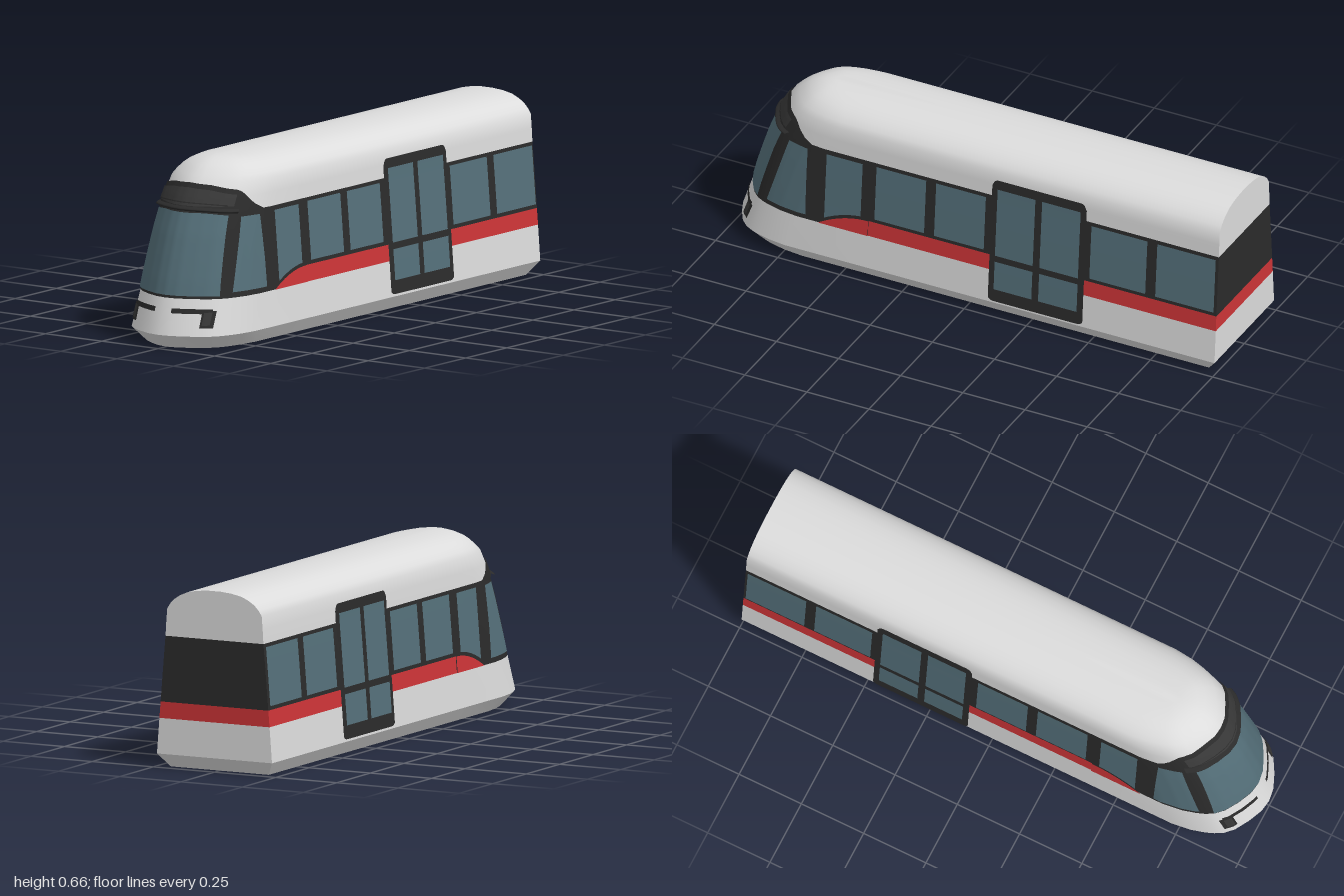
import * as THREE from 'three';
import { toCreasedNormals } from 'three/addons/utils/BufferGeometryUtils.js';

const mat = (name, color) => new THREE.MeshStandardMaterial({ name, color });

// body levels: height, half width, nose z, rear z, depth of the nose curve
const LEVELS = [
  [0, 0.2, 0.95, -0.96, 1], [0.05, 0.235, 1, -1, 1], [0.18, 0.225, 0.957, -1, 1],
  [0.24, 0.22, 0.942, -1, 1], [0.32, 0.2135, 0.918, -1, 1], [0.4, 0.207, 0.892, -1, 1],
  [0.48, 0.2, 0.86, -1, 1], [0.53, 0.197, 0.832, -1, 1], [0.58, 0.193, 0.8, -1, 1],
  [0.6, 0.18, 0.778, -1, 0.94], [0.617, 0.163, 0.758, -1, 0.86], [0.632, 0.14, 0.735, -1, 0.74],
  [0.645, 0.11, 0.705, -1, 0.6], [0.653, 0.07, 0.675, -1, 0.4], [0.657, 0.025, 0.64, -1, 0.18],
];
// nose plan: fraction of half width, setback from the nose
const PLAN = [[0, 0], [0.2, 0.007], [0.43, 0.03], [0.65, 0.06], [0.78, 0.09],
  [0.85, 0.12], [0.9, 0.15], [0.96, 0.2], [1, 0.27]];

// piecewise linear lookup of column c, keyed by column k
function lookup(table, v, c, k = 0) {
  if (v <= table[0][k]) return table[0][c];
  for (let i = 1; i < table.length; i++) {
    const a = table[i - 1], b = table[i];
    if (v <= b[k]) return a[c] + (b[c] - a[c]) * (v - a[k]) / (b[k] - a[k]);
  }
  return table[table.length - 1][c];
}

// closed outline of one level, from the left rear round the nose to the right rear
function outline([y, w, nose, rear, k]) {
  const half = [[w, y, rear], [w, y, 0.4]];
  for (let i = PLAN.length - 1; i >= 0; i--) half.push([w * PLAN[i][0], y, nose - k * PLAN[i][1]]);
  const other = half.slice(0, -1).reverse().map(([x, h, z]) => [-x, h, z]);
  return [...half, ...other];
}

function meshFrom(name, positions, material) {
  const g = new THREE.BufferGeometry();
  g.setAttribute('position', new THREE.Float32BufferAttribute(positions.flat(), 3));
  const m = new THREE.Mesh(toCreasedNormals(g, 0.62), material);
  m.name = name;
  return m;
}

// skin between levels i0 and i1; keep() selects the columns used
function skin(name, i0, i1, material, keep = () => true, caps = '') {
  const out = [];
  const rows = LEVELS.slice(i0, i1 + 1).map(outline);
  const n = rows[0].length;
  for (let i = 0; i < rows.length - 1; i++) for (let j = 0; j < n; j++) {
    if (!keep(j, n)) continue;
    const q = (j + 1) % n;
    const a = rows[i][j], b = rows[i][q], c = rows[i + 1][q], d = rows[i + 1][j];
    out.push(a, c, b, a, d, c);
  }
  for (let j = 0; j < n; j++) {
    const q = (j + 1) % n, top = rows[rows.length - 1];
    if (caps === 'floor') out.push([0, rows[0][0][1], 0], rows[0][j], rows[0][q]);
    if (caps === 'top') out.push([0, top[0][1], 0], top[q], top[j]);
  }
  return meshFrom(name, out, material);
}

// thin painted patch; fn maps (s, t) in 0..1 to a point
function patch(name, material, fn, n = 12, m = 10) {
  const g = new THREE.PlaneGeometry(1, 1, n, m);
  const p = g.attributes.position;
  for (let i = 0; i < p.count; i++) p.setXYZ(i, ...fn(p.getX(i) + 0.5, p.getY(i) + 0.5));
  g.computeVertexNormals();
  const mesh = new THREE.Mesh(g, material);
  mesh.name = name;
  return mesh;
}

// point on the nose from width fraction u and height y
const onNose = (u, y, off) => [
  u * lookup(LEVELS, y, 1) + off * u,
  y,
  lookup(LEVELS, y, 2) - lookup(LEVELS, y, 4) * lookup(PLAN, Math.abs(u), 1) + off,
];
// point on the flank from z and height y
const onSide = (side, z, y, off) => {
  const u = lookup(PLAN, lookup(LEVELS, y, 2) - z, 0, 1);
  return [side * (u * lookup(LEVELS, y, 1) + off), y, z];
};
const mix = THREE.MathUtils.lerp;

export function createModel() {
  const tram = new THREE.Group();
  tram.name = 'tram';
  const white = mat('white paint', 0xdcdcdc);
  const black = mat('black trim', 0x2b2b2b);
  const grey = mat('dark grey panel', 0x383838);
  const red = mat('red stripe', 0xcc3437);
  const glass = mat('tinted glass', 0x546f79);

  // body shell
  const rear = (j, n) => j === 0 || j >= n - 2;
  tram.add(
    skin('lowerBody', 0, 2, white, undefined, 'floor'),
    skin('redStripe', 2, 3, red, rear),
    skin('noseBand', 2, 3, black, (j, n) => !rear(j, n)),
    skin('windowBand', 3, 6, black),
    skin('roof', 6, LEVELS.length - 1, white, undefined, 'top'),
  );

  // black brow over the windscreen, running down to the window band
  const BROW = [[0, 0.578], [0.4, 0.572], [0.8, 0.555], [0.87, 0.535], [0.98, 0.48]];
  tram.add(patch('brow', black, (s, t) => {
    const u = mix(-0.98, 0.98, s);
    const y = mix(0.478, lookup(BROW, Math.abs(u), 1), t);
    return onNose(u, y, 0.005);
  }, 48));
  tram.add(patch('browLip', black, (s, t) => {
    const u = mix(-0.84, 0.84, s);
    const y = mix(0.483, 0.499, t) - 0.012 * u * u;
    return onNose(u, y, 0.004 + 0.012 * Math.sin(Math.PI * t));
  }, 24, 6));
  tram.add(patch('destinationPanel', grey, (s, t) => {
    const u = mix(-0.79, 0.79, s);
    return onNose(u, mix(0.501, lookup(BROW, Math.abs(u), 1) - 0.016, t), 0.008);
  }, 24));
  tram.add(patch('destinationScreen', black, (s, t) => {
    const u = mix(-0.72, 0.72, s);
    return onNose(u, mix(0.51, 0.514, t) - 0.016 * u * u, 0.0095);
  }, 24, 1));

  // windscreen
  tram.add(patch('windscreen', glass, (s, t) => {
    const u = mix(-1, 1, s) * mix(0.78, 0.755, t);
    return onNose(u, mix(0.19, 0.481 - 0.02 * u * u, t), 0.004);
  }, 32, 16));

  // headlights, in x and y
  const lamp = (name, m, side, x0, x1, y0, y1, off) => tram.add(patch(name, m, (s, t) => {
    const y = mix(y0, y1, t);
    const x = side > 0 ? mix(x0, x1, s) : -mix(x1, x0, s);
    return onNose(x / lookup(LEVELS, y, 1), y, off);
  }, 8, 4));

  // flank pieces: z from front to back, lower and upper edges as functions of z
  const flank = (name, m, side, z0, z1, lo, hi, off, n = 12) => tram.add(patch(name, m, (s, t) => {
    const z = mix(z0, z1, side > 0 ? s : 1 - s);
    return onSide(side, z, mix(lo(z), hi(z), t), off);
  }, n));
  const at = (y) => () => y;
  // curved front end of the red stripe
  const sweep = (z) => 0.24 - 0.06 * Math.pow(THREE.MathUtils.clamp((z - 0.4) / 0.2, 0, 1), 2);
  // rounded ends of the door frame
  const round = (z) => {
    const r = 0.025, e = Math.max(0, Math.abs(z + 0.28) - (0.19 - r));
    return r - Math.sqrt(Math.max(0, r * r - e * e));
  };

  for (const side of [1, -1]) {
    lamp('headlightBar', black, side, 0.035, 0.165, 0.129, 0.146, 0.004);
    lamp('headlightHousing', black, side, 0.137, 0.175, 0.08, 0.14, 0.005);
    lamp('headlightLens', grey, side, 0.143, 0.165, 0.09, 0.135, 0.007);

    flank('stripeSweep', red, side, 0.6, 0.4, at(0.18), sweep, 0.003, 16);

    // slanted cab window
    tram.add(patch('cabWindow', glass, (s, t) => {
      const z = mix(mix(0.82, 0.74, t), mix(0.65, 0.655, t), side > 0 ? s : 1 - s);
      return onSide(side, z, mix(0.2, 0.462, t), 0.005);
    }, 16));

    // saloon windows
    flank('frontWindow', glass, side, 0.575, 0.43, (z) => sweep(z) + 0.014, at(0.465), 0.005);
    for (const [z0, z1] of [[0.375, 0.175], [0.135, -0.065], [-0.49, -0.715], [-0.755, -0.99]])
      flank('saloonWindow', glass, side, z0, z1, at(0.255), at(0.468), 0.004);

    // double door
    flank('doorFrame', black, side, -0.09, -0.47,
      (z) => 0.06 + round(z) * 0.4, (z) => 0.55 - round(z), 0.006, 40);
    for (const [z0, z1] of [[-0.113, -0.265], [-0.292, -0.447]]) {
      flank('doorUpperPane', glass, side, z0, z1, at(0.246), at(0.515), 0.009);
      flank('doorLowerPane', glass, side, z0, z1, at(0.11), at(0.222), 0.009);
    }
  }
  return tram;
}
